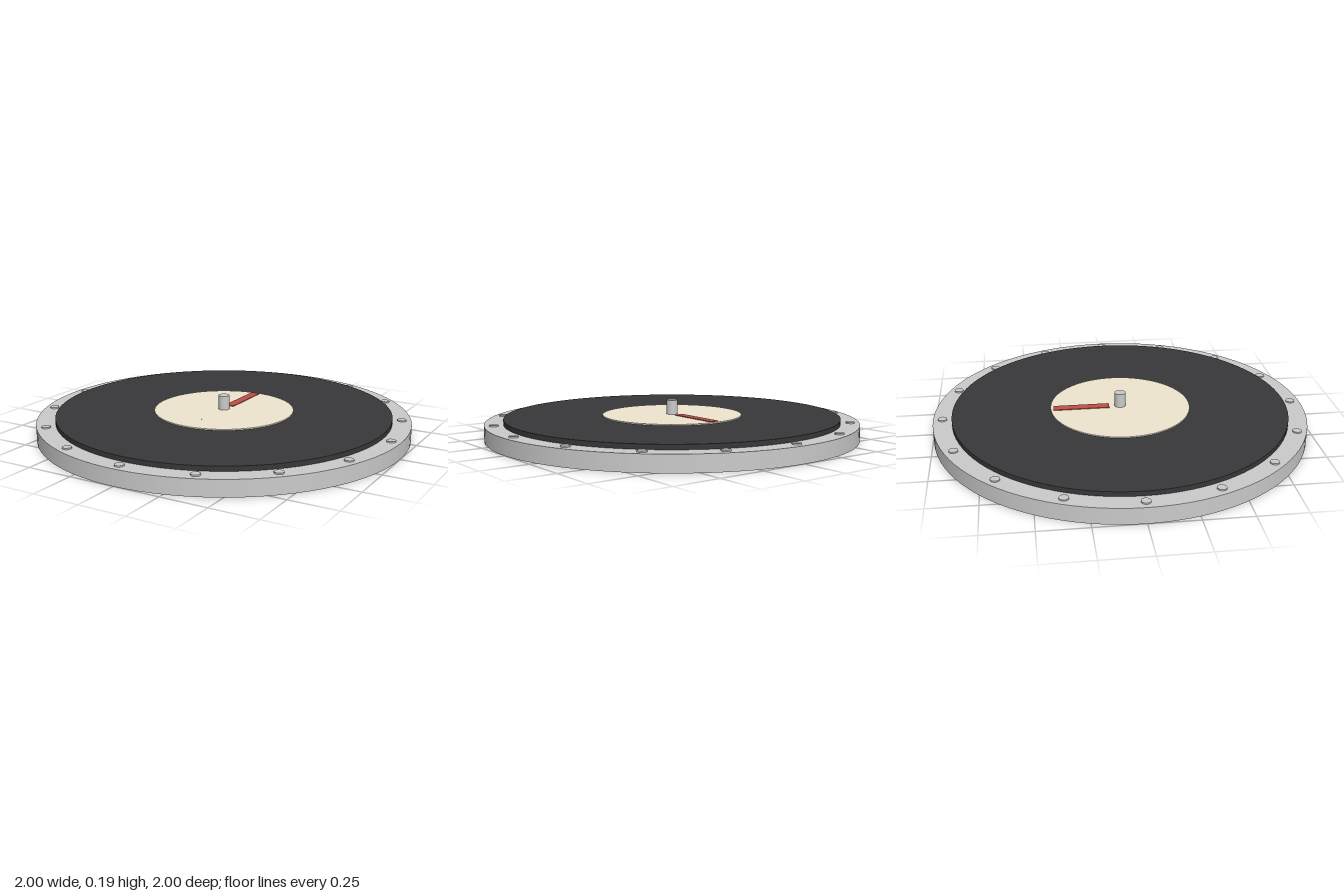
import * as THREE from 'three';

const SEGMENTS = 96;

function material(color = 0xcccccc) {
  return new THREE.MeshStandardMaterial({ color });
}

// Upright disc spanning y0..y1
function disc(name, radius, y0, y1, mat, segments = SEGMENTS) {
  const mesh = new THREE.Mesh(new THREE.CylinderGeometry(radius, radius, y1 - y0, segments), mat);
  mesh.name = name;
  mesh.position.y = (y0 + y1) / 2;
  return mesh;
}

export function createModel() {
  const model = new THREE.Group();
  model.name = 'turntablePlatter';
  const metal = material();

  // Stacked discs: platter, record, paper label, centre pin
  model.add(disc('platter', 1, 0, 0.085, metal));
  model.add(disc('record', 0.9, 0.085, 0.11, material(0x38383a)));
  model.add(disc('label', 0.375, 0.11, 0.116, material(0xf0e6d0)));
  model.add(disc('spindle', 0.03, 0.116, 0.192, metal, 24));

  // Red marker strip on the label, pointing to the back
  const marker = new THREE.Mesh(new THREE.BoxGeometry(0.05, 0.005, 0.3), material(0xc0504a));
  marker.name = 'marker';
  marker.position.set(0, 0.1175, -0.21);
  model.add(marker);

  // Ring of small studs on the exposed rim
  const studs = new THREE.Group();
  studs.name = 'rimStuds';
  const count = 16;
  for (let i = 0; i < count; i++) {
    const angle = (i / count) * Math.PI * 2;
    const stud = disc('rimStud', 0.024, 0.08, 0.092, metal, 16);
    stud.position.x = Math.cos(angle) * 0.95;
    stud.position.z = Math.sin(angle) * 0.95;
    studs.add(stud);
  }
  model.add(studs);

  return model;
}
